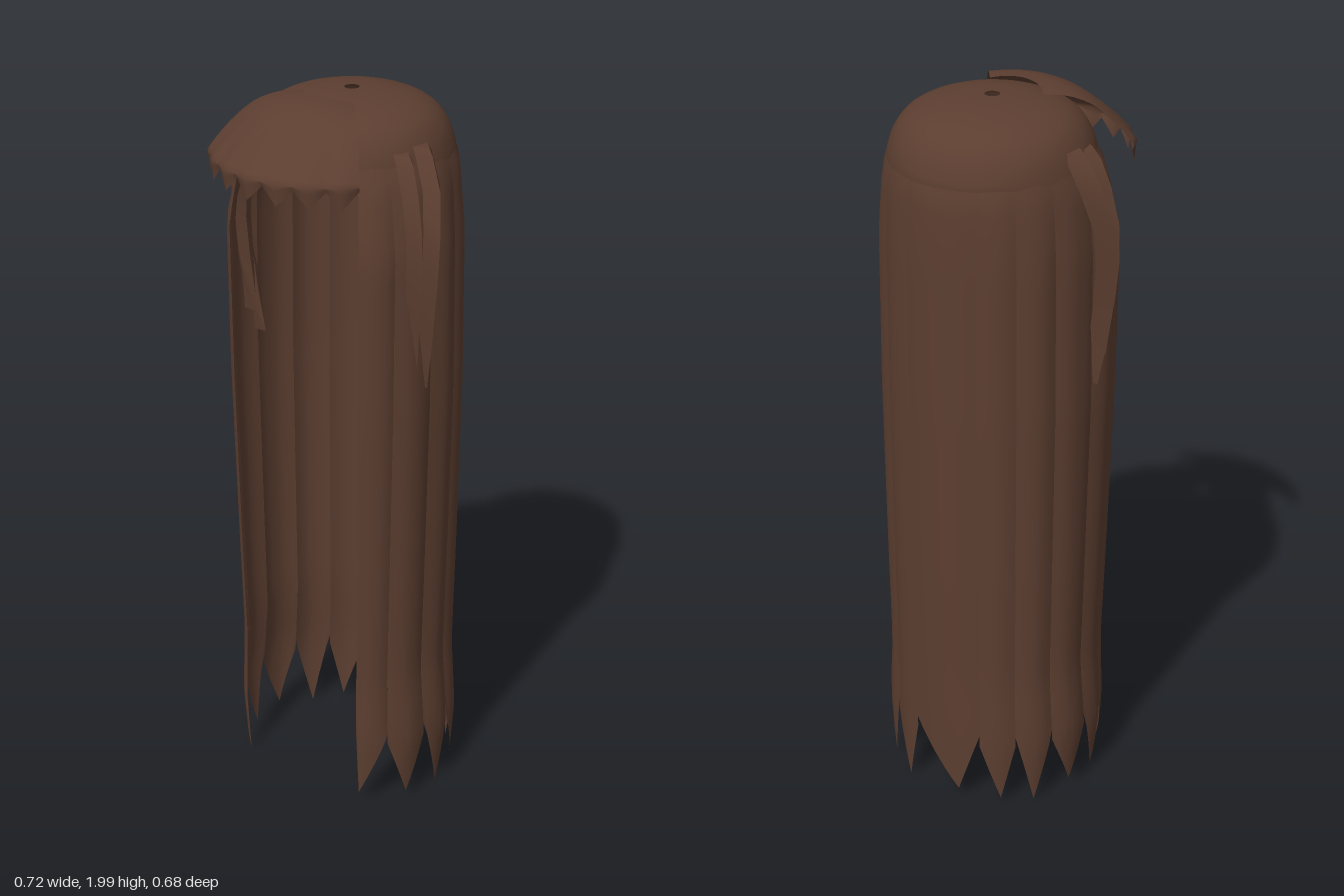
import * as THREE from 'three';
import { toCreasedNormals } from 'three/addons/utils/BufferGeometryUtils.js';

const CZ = -0.055; // z of the head's axis
const rad = THREE.MathUtils.degToRad;
const lerp = THREE.MathUtils.lerp;

// Point at an angle round the head: 0 = back, 90 = +x, 180 = front
const polar = (deg, r, y) => [r * Math.sin(rad(deg)), y, CZ - r * Math.cos(rad(deg))];

// Grid surface; u runs round the head, v runs downwards
function sheet(fn, nu, nv) {
  const pos = [], idx = [];
  for (let j = 0; j <= nv; j++)
    for (let i = 0; i <= nu; i++) pos.push(...fn(i / nu, j / nv, i, j));
  for (let j = 0; j < nv; j++)
    for (let i = 0; i < nu; i++) {
      const a = j * (nu + 1) + i, c = a + nu + 1;
      idx.push(a, a + 1, c, a + 1, c + 1, c);
    }
  const g = new THREE.BufferGeometry();
  g.setAttribute('position', new THREE.Float32BufferAttribute(pos, 3));
  g.setIndex(idx);
  g.computeVertexNormals();
  return g;
}

// Linear interpolation in a list of [x, value]
function ramp(list, x) {
  for (let i = 1; i < list.length; i++) {
    const [x0, a] = list[i - 1], [x1, b] = list[i];
    if (x <= x1) return lerp(a, b, Math.max(0, (x - x0) / (x1 - x0)));
  }
  return list[list.length - 1][1];
}

export function createModel() {
  const model = new THREE.Group();
  const brown = new THREE.MeshStandardMaterial({ color: 0x5c3e30, side: THREE.DoubleSide });
  brown.name = 'brown hair';
  const add = (name, geometry, parent = model) => {
    const m = new THREE.Mesh(geometry, brown);
    m.name = name;
    parent.add(m);
  };

  // Crown: a dome with a small hole on top and a rim that drops at the back
  const dome = new THREE.SplineCurve([[0.02, 1.995], [0.08, 1.992], [0.14, 1.98], [0.19, 1.963],
    [0.23, 1.935], [0.258, 1.89], [0.272, 1.84]].map(p => new THREE.Vector2(...p)));
  add('crown', sheet((u, v, i, j) => {
    const deg = lerp(-180, 180, u);
    if (j <= 16) {
      const p = dome.getPoint(j / 16);
      return polar(deg, p.x, p.y);
    }
    const rim = 1.565 + Math.min(0.27, 0.33 * (1 - Math.cos(rad(deg))));
    const y = lerp(1.84, rim, (j - 16) / 6);
    return polar(deg, 0.272 + 0.03 * (1.84 - y), y);
  }, 72, 22));

  // Long strands: open at the front, each with a pointed end
  const curtain = new THREE.Group();
  curtain.name = 'longHair';
  model.add(curtain);
  const notches = [-135, -122, -99, -75, -54, -34, 8, 29, 50, 72, 95, 118, 135];
  const tips = [0.1, 0.6, 0.5, 0.5, 0.4, 0.3, 0.4, 0.4, 0.5, 0.5, 0.5, 0.9];
  const radius = [[0, 0.27], [0.3, 0.276], [0.7, 0.281], [1.2, 0.284], [1.64, 0.284], [1.78, 0.28],
    [1.82, 0.276], [1.86, 0.265], [1.88, 0.257]];
  const frontSwell = [[0, 0.006], [0.6, 0.015], [1.2, 0.024], [1.64, 0.032]];
  const sideSwell = [[0, 0.01], [0.2, 0.024], [0.4, 0.004], [0.7, 0.007], [1.2, 0.014], [1.6, 0.01]];
  tips.forEach((tip, k) => {
    const a = notches[k], b = notches[k + 1];
    const low = 0.015 + 0.015 * (k % 3), high = 0.2 + 0.03 * (k % 2);
    add('strand', sheet((u, v) => {
      const bottom = u < tip ? lerp(high, low, u / tip) : lerp(low, high, (u - tip) / (1 - tip));
      const y = lerp(1.88, bottom, v);
      const deg = lerp(a, b, u);
      const side = Math.sin(rad(deg)) ** 2;
      const front = Math.min(1, Math.max(0, -2 * Math.cos(rad(deg))));
      const fall = Math.min(1, (1.88 - y) * 4);
      const bulge = (0.003 + 0.009 * side) * Math.sin(Math.PI * u);
      const swell = bulge + side * ramp(sideSwell, y) + front * ramp(frontSwell, y);
      return polar(deg, ramp(radius, y) + swell * fall, y);
    }, 10, 32), curtain);
  });

  // Fringe: a quarter fan over the forehead with a turned down, ragged edge
  const fan = new THREE.SplineCurve([[0.13, 1.99], [0.19, 1.985], [0.25, 1.963], [0.31, 1.922],
    [0.36, 1.879], [0.39, 1.848]].map(p => new THREE.Vector2(...p)));
  const teeth = 7;
  add('fringe', sheet((u, v, i, j) => {
    const deg = lerp(135, 225, u);
    const off = Math.abs(u - 0.5) * 2;
    const p = fan.getPoint(Math.min(1, j / 12));
    const edge = Math.max(0, (p.x - 0.25) / 0.14);
    const saw = Math.abs(((u * teeth) % 1) - 0.5) * 2; // 0 at each tip
    const r = p.x * (1 - 0.07 * off * off * edge) + 0.006 * (1 - saw) * edge;
    const crown = p.y + 0.01 * (1 - off * off) * (1 - edge); // arched from side to side
    if (j <= 12) return polar(deg, r, crown);
    return polar(deg, r - 0.006 * (j - 12) / 3, lerp(p.y, lerp(1.79, 1.834, saw), (j - 12) / 3));
  }, teeth * 8, 15));

  // Side locks: two ridged, tapering locks on each side
  // Each row: y, x of the ridge, z of the middle, half width
  const outer = [[1.9, 0.285, -0.036, 0.03], [1.88, 0.3, -0.033, 0.034], [1.8, 0.338, -0.02, 0.036],
    [1.7, 0.361, 0.004, 0.034], [1.6, 0.361, 0.01, 0.032], [1.5, 0.352, 0.01, 0.028],
    [1.38, 0.336, 0.006, 0.02], [1.26, 0.315, 0, 0.004]];
  const inner = [[1.89, 0.27, 0.022, 0.03], [1.87, 0.285, 0.026, 0.033], [1.8, 0.312, 0.036, 0.032],
    [1.7, 0.334, 0.045, 0.03], [1.6, 0.337, 0.047, 0.028], [1.5, 0.33, 0.043, 0.024],
    [1.33, 0.31, 0.035, 0.004]];
  const lock = (rows, s) => {
    const ends = [rows[0], ...rows, rows[rows.length - 1]];
    const g = sheet((u, v, i, j) => {
      const [y, x, z, w] = ends[j];
      if (j === 0 || j === ends.length - 1) return [s * (x - 0.035), y, z];
      const ring = [[x - 0.04, z - w], [x, z + w * 0.25], [x - 0.035, z + w], [x - 0.05, z]];
      const p = ring[(s > 0 ? i : 4 - i) % 4];
      return [s * p[0], y, p[1]];
    }, 4, ends.length - 1);
    return toCreasedNormals(g, rad(40));
  };
  for (const s of [1, -1]) {
    const name = s > 0 ? 'left' : 'right';
    add(name + 'OuterLock', lock(outer, s));
    add(name + 'InnerLock', lock(inner, s));
  }
  return model;
}
